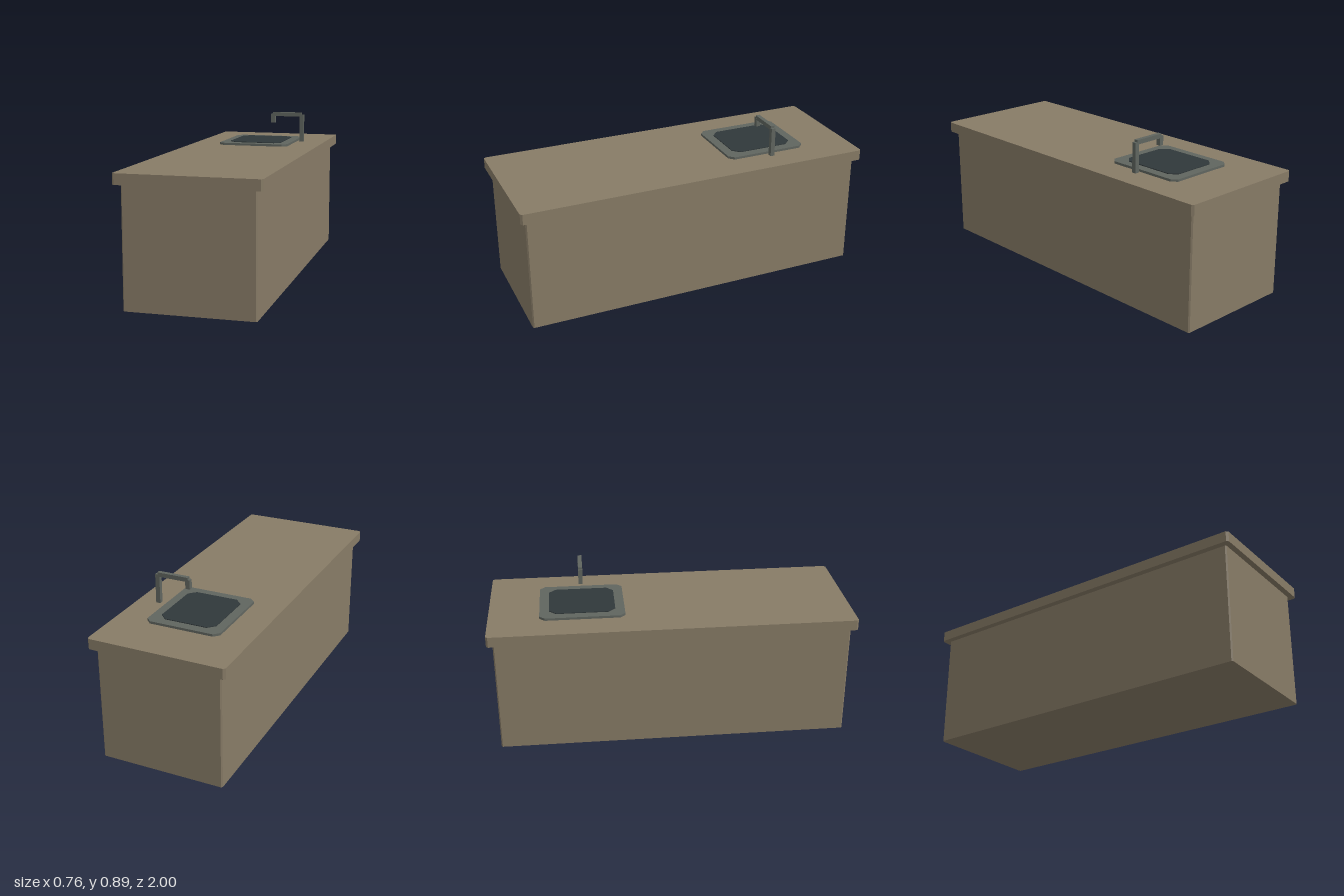
import * as THREE from 'three';

// Upright slab with chamfered vertical corners, centred on (0, z)
function chamferedSlab(width, depth, chamfer, y0, y1, z, material, name) {
  const a = width / 2, b = depth / 2, c = chamfer;
  const shape = new THREE.Shape([
    [a - c, -b], [a, -b + c], [a, b - c], [a - c, b],
    [-a + c, b], [-a, b - c], [-a, -b + c], [-a + c, -b],
  ].map(([x, y]) => new THREE.Vector2(x, y)));
  const geometry = new THREE.ExtrudeGeometry(shape, { depth: y1 - y0, bevelEnabled: false });
  geometry.rotateX(-Math.PI / 2);
  const mesh = new THREE.Mesh(geometry, material);
  mesh.position.set(0, y0, z);
  mesh.name = name;
  return mesh;
}

// Square bar given by its extents in x and y
function bar(x0, x1, y0, y1, thickness, material, name) {
  const mesh = new THREE.Mesh(new THREE.BoxGeometry(x1 - x0, y1 - y0, thickness), material);
  mesh.position.set((x0 + x1) / 2, (y0 + y1) / 2, 0);
  mesh.name = name;
  return mesh;
}

function makeMaterial(name, color) {
  const material = new THREE.MeshStandardMaterial({ color });
  material.name = name;
  return material;
}

export function createModel() {
  const wood = makeMaterial('brown wood', 0x877b66);
  const metal = makeMaterial('grey metal', 0x60655f);
  const dark = makeMaterial('dark basin', 0x30383a);
  const sinkZ = -0.487;

  const model = new THREE.Group();
  model.name = 'kitchenIsland';

  // Cabinet and overhanging worktop
  model.add(chamferedSlab(0.692, 1.938, 0.007, 0, 0.643, 0, wood, 'cabinet'));
  model.add(chamferedSlab(0.76, 2, 0.011, 0.643, 0.701, 0, wood, 'worktop'));

  // Sink rim with the dark basin plate on it
  const sink = new THREE.Group();
  sink.name = 'sink';
  sink.add(chamferedSlab(0.416, 0.468, 0.029, 0.701, 0.714, sinkZ, metal, 'sinkRim'));
  sink.add(chamferedSlab(0.314, 0.364, 0.038, 0.714, 0.718, sinkZ, dark, 'basin'));
  model.add(sink);

  // Angular tap beside the sink, reaching over the basin
  const tap = new THREE.Group();
  tap.name = 'tap';
  tap.position.z = sinkZ;
  tap.add(bar(0.24, 0.265, 0.71, 0.874, 0.024, metal, 'tapPost'));
  tap.add(bar(0.074, 0.252, 0.862, 0.886, 0.023, metal, 'tapArm'));
  tap.add(bar(0.061, 0.087, 0.822, 0.874, 0.024, metal, 'tapSpout'));
  model.add(tap);

  return model;
}
